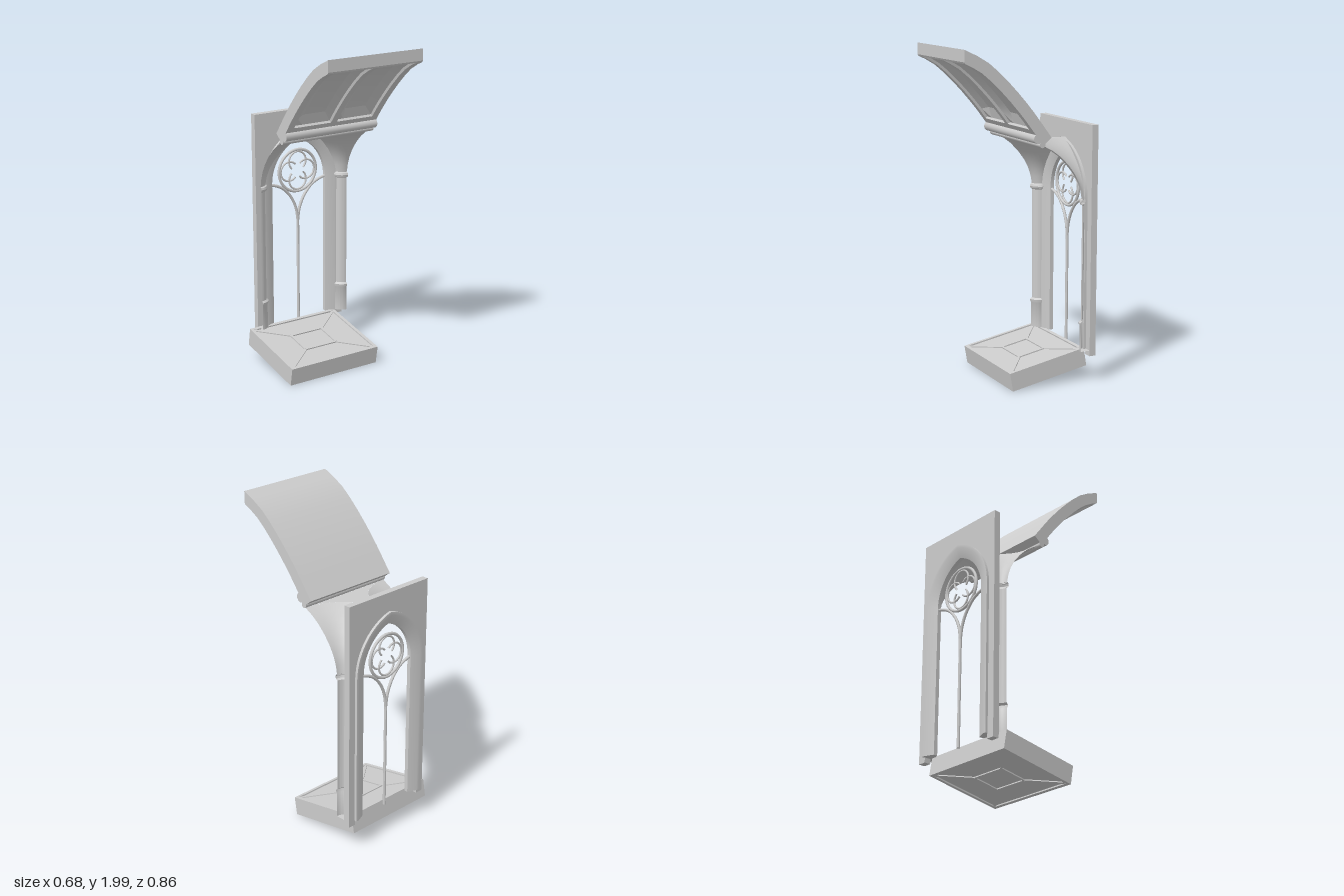
import * as THREE from 'three';
import { toCreasedNormals } from 'three/addons/utils/BufferGeometryUtils.js';

const CX = 0.029;            // centre line of the bay
const WALL_Z = -0.395;       // middle of the wall
const SPRING = 1.1;          // springing height of the arch
const ARC = 0.079;           // offset of the arc centres from the centre line
const material = new THREE.MeshStandardMaterial({ color: 0xcccccc, side: THREE.DoubleSide });

function add(parent, name, geometry, crease = 0.6) {
  const mesh = new THREE.Mesh(crease ? toCreasedNormals(geometry, crease) : geometry, material);
  mesh.name = name;
  parent.add(mesh);
  return mesh;
}

// Skin over a row of cross-sections (arrays of Vector3), each a closed loop
function loft(sections) {
  const n = sections[0].length, pos = [], index = [];
  sections.forEach(s => s.forEach(p => pos.push(p.x, p.y, p.z)));
  for (let i = 0; i < sections.length - 1; i++) {
    for (let j = 0; j < n; j++) {
      const a = i * n + j, b = i * n + (j + 1) % n;
      index.push(a, b, a + n, b, b + n, a + n);
    }
  }
  // end caps pair each point with its opposite in the loop
  for (const [start, flip] of [[0, false], [(sections.length - 1) * n, true]]) {
    for (let j = 0; j < n / 2 - 1; j++) {
      const q = [start + j, start + j + 1, start + n - 2 - j, start + n - 1 - j];
      if (flip) index.push(q[0], q[1], q[2], q[0], q[2], q[3]);
      else index.push(q[0], q[2], q[1], q[0], q[3], q[2]);
    }
  }
  const g = new THREE.BufferGeometry();
  g.setAttribute('position', new THREE.Float32BufferAttribute(pos, 3));
  g.setIndex(index);
  g.computeVertexNormals();
  return g;
}

// Points of a pointed arch of arc radius R, from the left foot to the right foot
function archPoints(R, foot, steps = 14) {
  const half = [[R - ARC, foot]];
  for (let i = 0; i <= steps; i++) {
    const a = Math.acos(ARC / R) * i / steps;
    half.push([R * Math.cos(a) - ARC, SPRING + R * Math.sin(a)]);
  }
  const left = half.map(([x, y]) => new THREE.Vector2(CX - x, y));
  const right = half.slice(0, -1).reverse().map(([x, y]) => new THREE.Vector2(CX + x, y));
  return [...left, ...right];
}

function buildWall(group) {
  // Wall plate, open at the foot
  const outline = [[0.338, 0.17], [0.338, 1.545], [-0.28, 1.545], [-0.28, 0.17]]
    .map(p => new THREE.Vector2(...p));
  const shape = new THREE.Shape([...outline, ...archPoints(0.338, 0.17)]);
  const plate = new THREE.ExtrudeGeometry(shape, { depth: 0.04, bevelEnabled: false });
  add(group, 'wallPlate', plate.translate(0, 0, WALL_Z - 0.02));

  // Splayed window frame
  const rings = [[0.344, -0.036], [0.344, 0.036], [0.325, 0.036], [0.269, 0.012],
    [0.269, -0.012], [0.325, -0.036]].map(([R, z]) =>
    archPoints(R, 0.2).map(p => new THREE.Vector3(p.x, p.y, WALL_Z + z)));
  add(group, 'windowFrame', loft(rings[0].map((_, i) => rings.map(r => r[i]))));
}

function buildTracery(group) {
  const tracery = new THREE.Group();
  tracery.name = 'tracery';
  tracery.position.set(CX - 0.003, 0, WALL_Z);
  group.add(tracery);

  const mullion = new THREE.CylinderGeometry(0.009, 0.009, 0.69, 10);
  add(tracery, 'mullion', mullion.translate(0, 0.535, 0));

  // Branches curving from the mullion to the jambs
  for (const s of [-1, 1]) {
    const curve = new THREE.CatmullRomCurve3([[0, 0.84], [0.012, 0.915], [0.045, 0.99],
      [0.1, 1.053], [0.15, 1.08], [0.2, 1.094]].map(([x, y]) => new THREE.Vector3(s * x, y, 0)));
    add(tracery, 'branch', new THREE.TubeGeometry(curve, 20, 0.009, 8), 0);
  }

  // Round light with four lobes
  const circle = new THREE.TorusGeometry(0.131, 0.009, 8, 48);
  add(tracery, 'roundLight', circle.translate(0, 1.157, 0), 0);
  for (let i = 0; i < 4; i++) {
    const lobe = new THREE.TorusGeometry(0.06, 0.006, 8, 20, Math.PI * 1.52);
    lobe.rotateZ(-Math.PI * 0.76).translate(0.059, 0, 0).rotateZ(i * Math.PI / 2);
    add(tracery, 'lobe', lobe.translate(0, 1.157, 0), 0);
  }
}

function buildColumns(group) {
  // Quarter columns growing into flared vaults
  const shaft = [[0, 0.205], [0.06, 0.205], [0.06, 0.36], [0.066, 0.37], [0.066, 0.38],
    [0.054, 0.39], [0.054, 1.08], [0.066, 1.087], [0.07, 1.1], [0.066, 1.112], [0.056, 1.118]];
  const flare = [[0.056, 1.11], [0.066, 1.165], [0.083, 1.215], [0.113, 1.27], [0.155, 1.325],
    [0.205, 1.375], [0.255, 1.412], [0.306, 1.44]];
  for (const [x, phi] of [[-0.28, 0], [0.338, -Math.PI / 2]]) {
    for (const [name, profile, segments] of [['column', shaft, 12], ['vault', flare, 8]]) {
      const g = new THREE.LatheGeometry(profile.map(p => new THREE.Vector2(...p)),
        segments, phi, Math.PI / 2);
      add(group, name, g.translate(x, 0, -0.375));
    }
  }

  // Flat ceiling piece between the two vaults
  const r = 0.306, s = new THREE.Shape();
  s.moveTo(-0.28, 0.375 - r);
  s.absarc(-0.28, 0.375, r, -Math.PI / 2, 0, false);
  s.lineTo(0.338 - r, 0.375);
  s.absarc(0.338, 0.375, r, Math.PI, Math.PI * 1.5, false);
  s.closePath();
  const ceiling = new THREE.ShapeGeometry(s, 8).rotateX(-Math.PI / 2);
  add(group, 'vaultCeiling', ceiling.translate(0, 1.44, 0), 0);
}

function buildRoof(group) {
  const roof = new THREE.Group();
  roof.name = 'roof';
  group.add(roof);
  const curve = new THREE.CatmullRomCurve3([[2.0, 0.43], [1.935, 0.3], [1.82, 0.167],
    [1.665, 0.025], [1.49, -0.11]].map(([y, z]) => new THREE.Vector3(0, y, z)));

  // [station, recess] along the curve and across one bay from the middle rib
  const along = [[0, 0], [0.05, 0], [0.055, 0.014], [0.11, 0.037], [0.22, 0.037], [0.33, 0.037],
    [0.44, 0.037], [0.55, 0.037], [0.66, 0.037], [0.76, 0.037], [0.845, 0.014], [0.85, 0],
    [0.93, 0], [1, 0]];
  const bay = [[0.02, 0], [0.025, 0.014], [0.07, 0.037], [0.21, 0.037], [0.265, 0.014],
    [0.27, 0], [0.3135, 0]];
  const across = [...bay.map(([x, d]) => [-x, d]).reverse(), ...bay];

  // Curved shell with two recessed panels underneath
  const sections = across.map(([x, dx]) => {
    const outer = [], inner = [];
    for (const [u, du] of along) {
      const p = curve.getPointAt(u), t = curve.getTangentAt(u);
      p.x = x + 0.0225;
      const normal = u === 0 ? new THREE.Vector3(0, -1, 0) : new THREE.Vector3(0, t.z, -t.y);
      outer.push(p);
      inner.unshift(p.clone().addScaledVector(normal, 0.068 - Math.min(dx, du)));
    }
    return [...outer, ...inner];
  });
  add(roof, 'roofShell', loft(sections), 0.35);

  // Rolls along the lower edge
  for (const [y, z, r] of [[1.488, -0.026, 0.029], [1.452, -0.053, 0.018]]) {
    const roll = new THREE.CylinderGeometry(r, r, 0.627, 16).rotateZ(Math.PI / 2);
    add(roof, 'edgeRoll', roll.translate(0.0225, y, z));
  }
}

function buildFloor(group) {
  const floor = new THREE.Group();
  floor.name = 'floorSlab';
  floor.position.set(-0.033, 0.106, -0.136);
  floor.rotation.x = 0.174;
  group.add(floor);
  const hx = 0.307, hz = 0.25, T = 0.112, w = 0.02;
  const bar = (name, x0, z0, x1, z1, width, height) => {
    const g = new THREE.BoxGeometry(Math.hypot(x1 - x0, z1 - z0), height, width);
    g.rotateY(-Math.atan2(z1 - z0, x1 - x0));
    add(floor, name, g.translate((x0 + x1) / 2, 0, (z0 + z1) / 2));
  };
  add(floor, 'slabCore', new THREE.BoxGeometry(hx * 2 - 0.01, T - 0.016, hz * 2 - 0.01));
  // Border, middle panel frame and diagonal ribs, standing proud on both faces
  const a = 0.11, b = 0.085;
  for (const s of [-1, 1]) {
    bar('border', -hx, s * (hz - w / 2), hx, s * (hz - w / 2), w, T);
    bar('border', s * (hx - w / 2), -hz, s * (hx - w / 2), hz, w, T);
    bar('panelFrame', -a, s * b, a, s * b, 0.014, T - 0.002);
    bar('panelFrame', s * a, -b, s * a, b, 0.014, T - 0.002);
    for (const q of [-1, 1]) bar('rib', s * a, q * b, s * (hx - w), q * (hz - w), 0.016, T - 0.004);
  }
}

export function createModel() {
  const model = new THREE.Group();
  model.name = 'gothicBay';
  buildWall(model);
  buildTracery(model);
  buildColumns(model);
  buildRoof(model);
  buildFloor(model);
  return model;
}
